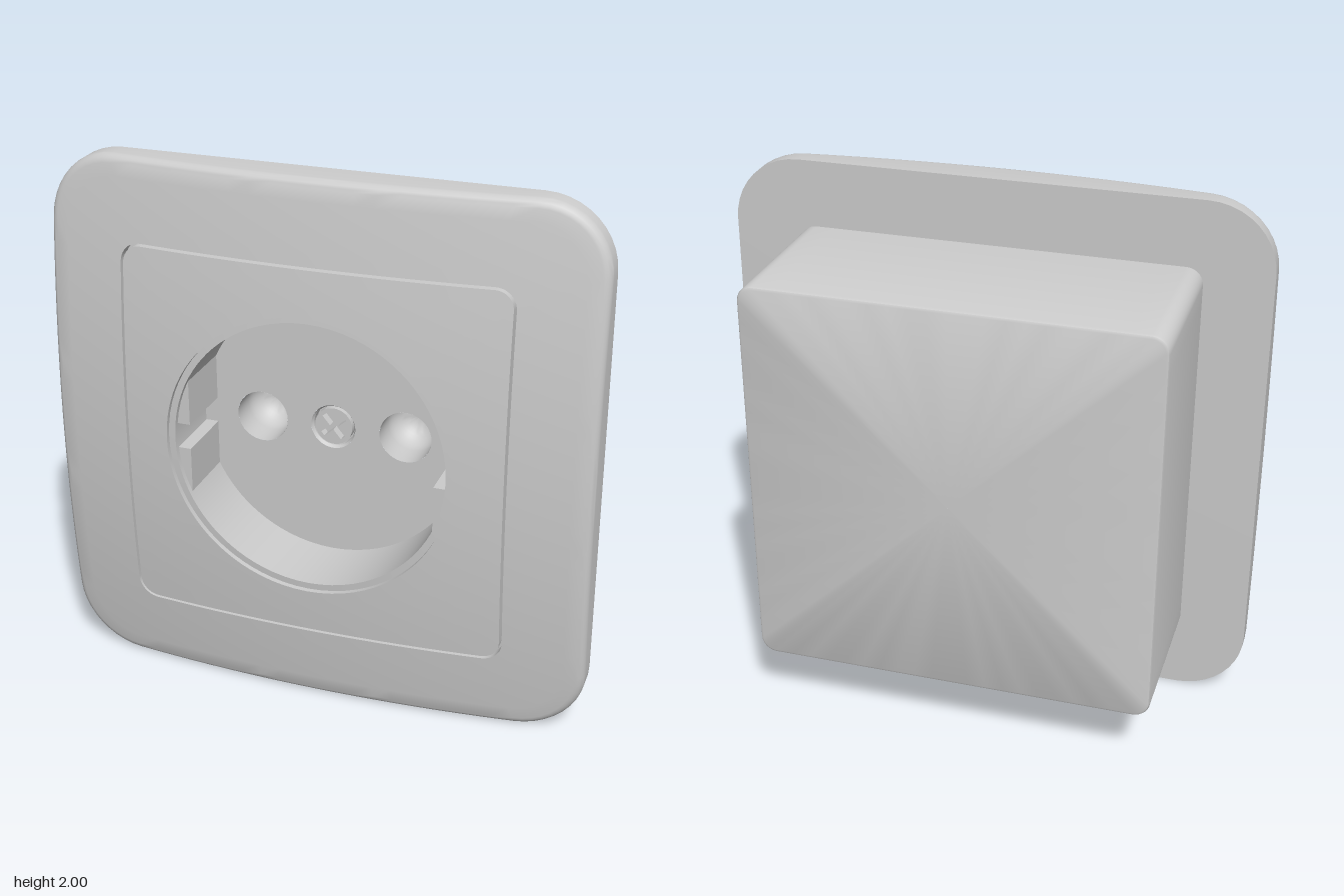
import * as THREE from 'three';
import { mergeVertices, toCreasedNormals } from 'three/addons/utils/BufferGeometryUtils.js';

const CX = -0.01;          // centre of the round well
const FLOOR = 0.11;        // depth of the well floor
const EDGE = 20, ARC = 10; // steps per straight side and per corner
const grey = new THREE.MeshStandardMaterial({ color: 0xcccccc });
const greyBoth = new THREE.MeshStandardMaterial({ color: 0xcccccc, side: THREE.DoubleSide });

// gently domed front surface
const dome = (x, y) => 0.422 - 0.081 * (x * x + y * y);

// rounded square, counter-clockwise seen from the front
function square(half, radius) {
  const pts = [], c = half - radius;
  for (let q = 0; q < 4; q++) {
    const turn = q * Math.PI / 2;
    const add = (x, y) => pts.push(new THREE.Vector2(x, y).rotateAround(new THREE.Vector2(), turn));
    for (let i = 0; i < EDGE; i++) add(half, -c + 2 * c * i / EDGE);
    for (let i = 0; i < ARC; i++) {
      const a = i / ARC * Math.PI / 2;
      add(c + radius * Math.cos(a), c + radius * Math.sin(a));
    }
  }
  return pts;
}

// circle with one point for each point of the rounded square
const circle = (r) => square(0.7, 0.06).map((p) => {
  const a = Math.atan2(p.y, p.x);
  return new THREE.Vector2(CX + r * Math.cos(a), r * Math.sin(a));
});

// skin through a list of [outline, z or z(x, y)], from back to front and inward
function loft(rings) {
  const pos = [], index = [], n = rings[0][0].length;
  for (const [pts, z] of rings)
    for (const p of pts) pos.push(p.x, p.y, typeof z === 'function' ? z(p.x, p.y) : z);
  for (let i = 0; i < rings.length - 1; i++)
    for (let j = 0; j < n; j++) {
      const a = i * n + j, b = i * n + (j + 1) % n;
      index.push(a, b, b + n, a, b + n, a + n);
    }
  const g = new THREE.BufferGeometry();
  g.setAttribute('position', new THREE.Float32BufferAttribute(pos, 3));
  g.setIndex(index);
  return toCreasedNormals(mergeVertices(g), 0.6);
}

function addMesh(parent, name, geometry, material = grey) {
  const mesh = new THREE.Mesh(geometry, material);
  mesh.name = name;
  parent.add(mesh);
  return mesh;
}

// turned surface whose axis points to the front
const turned = (profile) =>
  toCreasedNormals(new THREE.LatheGeometry(profile.map(([r, z]) => new THREE.Vector2(r, z)), 40).rotateX(Math.PI / 2), 0.5);

export function createModel() {
  const model = new THREE.Group();
  model.name = 'wallSocket';
  const body = new THREE.Group();
  body.position.y = 1;
  model.add(body);

  // outer frame: back face, rim, rounded edge, dome and groove wall
  const below = (d) => (x, y) => dome(x, y) - d;
  const frame = [[square(0.7, 0.07), 0.2], [square(1, 0.25), 0.2]];
  for (let i = 0; i <= 5; i++) {
    const a = i / 5 * Math.PI / 2, s = 0.03 * (1 - Math.cos(a));
    frame.push([square(1 - s, 0.25 - s), below(0.03 * (1 - Math.sin(a)))]);
  }
  for (let i = 1; i <= 6; i++) {
    const t = i / 6;
    frame.push([square(0.97 - 0.262 * t, 0.22 - 0.145 * t), dome]);
  }
  frame.push([square(0.708, 0.075), below(0.045)], [square(0.698, 0.065), below(0.045)]);
  addMesh(body, 'frame', loft(frame));

  // centre insert: groove wall, dome, lip and well wall
  const outer = square(0.698, 0.065), inner = circle(0.53);
  const insert = [[outer, below(0.045)]];
  for (let i = 0; i <= 5; i++)
    insert.push([outer.map((p, k) => p.clone().lerp(inner[k], i / 5)), dome]);
  insert.push([inner, below(0.02)], [circle(0.505), below(0.02)], [circle(0.505), FLOOR]);
  addMesh(body, 'centreInsert', loft(insert));

  // well floor with openings for pins and screw
  const floor = new THREE.Shape().absarc(CX, 0, 0.506, 0, Math.PI * 2);
  for (const [x, r] of [[-0.275, 0.098], [0, 0.085], [0.275, 0.098]])
    floor.holes.push(new THREE.Path().absarc(CX + x, 0, r, 0, Math.PI * 2, true));
  addMesh(body, 'wellFloor', new THREE.ShapeGeometry(floor, 40)).position.z = FLOOR;

  // round-bottomed pin holes
  const pin = [[0.098, 0], [0.098, -0.1]];
  for (let i = 1; i <= 10; i++) {
    const a = i / 10 * Math.PI / 2;
    pin.push([0.098 * Math.cos(a), -0.1 - 0.098 * Math.sin(a)]);
  }
  for (const s of [-1, 1])
    addMesh(body, s < 0 ? 'rightPinHole' : 'leftPinHole', turned(pin), greyBoth).position.set(CX + 0.275 * s, 0, FLOOR);

  // side guides: two blocks on each side with a slot between
  const chord = 0.455, R = 0.507, slot = 0.048;
  for (const sx of [-1, 1])
    for (const sy of [-1, 1]) {
      const pts = [new THREE.Vector2(sx * chord, sy * slot)];
      const a0 = Math.asin(slot / R), a1 = Math.acos(chord / R);
      for (let i = 0; i <= 8; i++) {
        const a = a0 + (a1 - a0) * i / 8;
        pts.push(new THREE.Vector2(sx * R * Math.cos(a), sy * R * Math.sin(a)));
      }
      const g = new THREE.ExtrudeGeometry(new THREE.Shape(pts), { depth: 0.25, bevelEnabled: false });
      addMesh(body, 'sideGuide', g).position.set(CX, 0, FLOOR);
    }

  // screw seat and cross-head screw
  const screw = new THREE.Group();
  screw.name = 'screw';
  screw.position.set(CX, 0, FLOOR);
  body.add(screw);
  addMesh(screw, 'screwSeat', turned([[0.085, 0], [0.078, -0.012], [0.078, -0.05], [0, -0.05]]), greyBoth);
  const head = new THREE.Shape().absarc(0, 0, 0.071, 0, Math.PI * 2);
  const cross = [], w = 0.01, l = 0.055;
  for (let q = 0; q < 4; q++)
    for (const [x, y] of [[l, -w], [l, w], [w, w]])
      cross.push(new THREE.Vector2(x, y).rotateAround(new THREE.Vector2(), q * Math.PI / 2));
  head.holes.push(new THREE.Path(cross));
  const headGeometry = new THREE.ExtrudeGeometry(head, { depth: 0.035, bevelEnabled: false, curveSegments: 32 });
  const headMesh = addMesh(screw, 'screwHead', toCreasedNormals(headGeometry, 0.5));
  headMesh.position.z = -0.04;
  headMesh.rotation.z = 0.7;

  // rear box with softened back edge
  addMesh(body, 'rearBox', loft([
    [square(0.001, 0.0005), -0.4], [square(0.738, 0.05), -0.4],
    [square(0.746, 0.058), -0.396], [square(0.75, 0.062), -0.388], [square(0.75, 0.062), 0.2],
  ]));
  return model;
}
